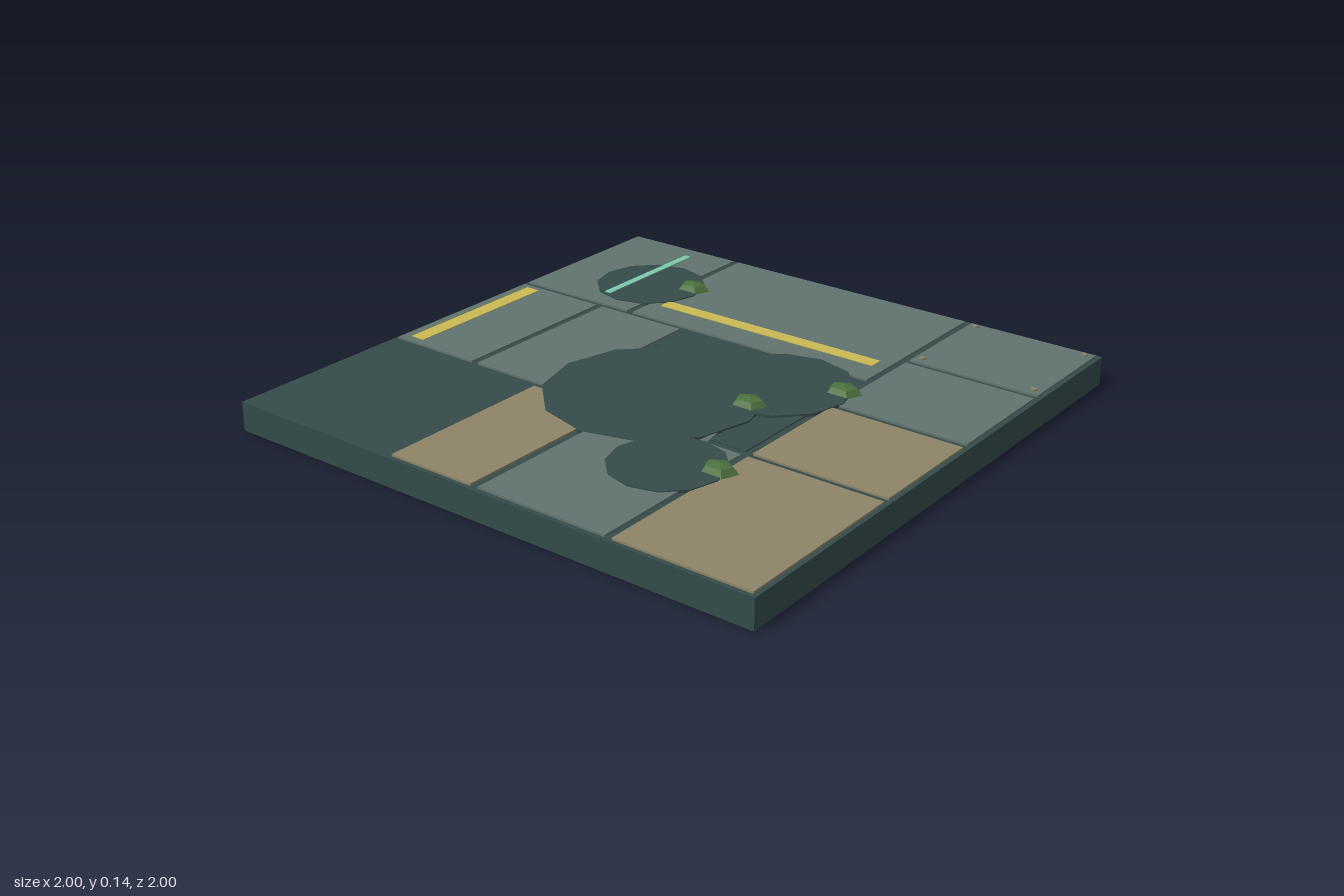
import * as THREE from 'three';

const mat = (name, color) => {
  const m = new THREE.MeshStandardMaterial({ color });
  m.name = name;
  return m;
};

export function createModel() {
  const group = new THREE.Group();
  const dark = mat('dark slab', 0x354b4b);
  const slate = mat('slate plate', 0x61736f);
  const tan = mat('tan plate', 0x8d8468);
  const yellow = mat('yellow paint', 0xcbba55);
  const mint = mat('mint strip', 0x80caac);
  const moss = mat('moss green', 0x4b703d);
  moss.flatShading = true;

  const add = (name, geo, material, x = 0, y = 0, z = 0) => {
    const m = new THREE.Mesh(geo, material);
    m.name = name;
    m.position.set(x, y, z);
    group.add(m);
    return m;
  };
  // Box given by its x and z limits, bottom and top
  const slab = (name, material, x0, z0, x1, z1, y0, y1) =>
    add(name, new THREE.BoxGeometry(x1 - x0, y1 - y0, z1 - z0), material,
      (x0 + x1) / 2, (y0 + y1) / 2, (z0 + z1) / 2);
  // Thin flat polygon from x,z corners
  const shard = (name, material, pts, y0, depth) => {
    const shape = new THREE.Shape(pts.map(([x, z]) => new THREE.Vector2(x, -z)));
    const geo = new THREE.ExtrudeGeometry(shape, { depth, bevelEnabled: false });
    geo.rotateX(-Math.PI / 2);
    return add(name, geo, material, 0, y0, 0);
  };

  // Base
  slab('base', dark, -1, -1, 1, 1, 0, 0.1);

  // Floor plates
  const plates = [
    [slate, -0.985, -0.985, -0.52, -0.345],
    [slate, -0.495, -0.985, 0.485, -0.345],
    [slate, 0.51, -0.985, 0.985, -0.57],
    [slate, 0.51, -0.545, 0.985, -0.12],
    [slate, -0.985, -0.32, -0.64, 0.325],
    [slate, -0.615, -0.32, -0.265, 0.325],
    [slate, 0.01, 0.35, 0.485, 0.985],
    [tan, 0.51, -0.095, 0.985, 0.325],
    [tan, 0.51, 0.35, 0.985, 0.985],
    [tan, -0.34, 0.35, -0.02, 0.985],
  ];
  for (const [m, ...r] of plates) slab('floorPlate', m, ...r, 0.1, 0.107);

  // Broken centre plate
  shard('brokenEdge', dark, [[-0.26, -0.17], [0.1, -0.33], [0.14, -0.32], [0.04, -0.21], [-0.2, -0.15]], 0.1, 0.004);
  shard('brokenEdge', dark, [[0.36, 0.1], [0.4, 0.09], [0.48, 0], [0.48, 0.32], [0.34, 0.32]], 0.1, 0.004);
  shard('splinter', slate, [[0.335, 0.26], [0.355, 0.35], [0.325, 0.35]], 0.1, 0.006);

  // Twelve-sided dark stains
  const stains = [[0, 0.15, 0.37], [0.28, -0.14, 0.25], [0.35, 0.535, 0.187], [-0.615, -0.6, 0.2]];
  stains.forEach(([x, z, r], i) => {
    const h = 0.0094 + i * 0.0004;
    add('stain', new THREE.CylinderGeometry(r, r, h, 12), dark, x, 0.1 + h / 2, z);
  });

  // Painted stripes and the bright strip
  slab('paintStripe', yellow, -0.45, -0.5, 0.44, -0.45, 0.107, 0.11);
  slab('paintStripe', yellow, -0.95, -0.295, -0.895, 0.295, 0.107, 0.11);
  slab('lightStrip', mint, -0.693, -0.91, -0.667, -0.43, 0.107, 0.114);

  // Corner rivets
  for (const x of [0.54, 0.955])
    for (const z of [-0.96, -0.6])
      add('rivet', new THREE.CylinderGeometry(0.011, 0.011, 0.007, 6), tan, x, 0.11, z);

  // Moss clumps
  const clump = new THREE.SphereGeometry(0.065, 5, 4).rotateY(-Math.PI / 2).scale(1, 0.46, 0.78);
  for (const [x, z] of [[-0.46, -0.655], [0.48, -0.215], [0.295, 0.045], [0.5, 0.48]])
    add('mossClump', clump, moss, x, 0.107, z);

  return group;
}
